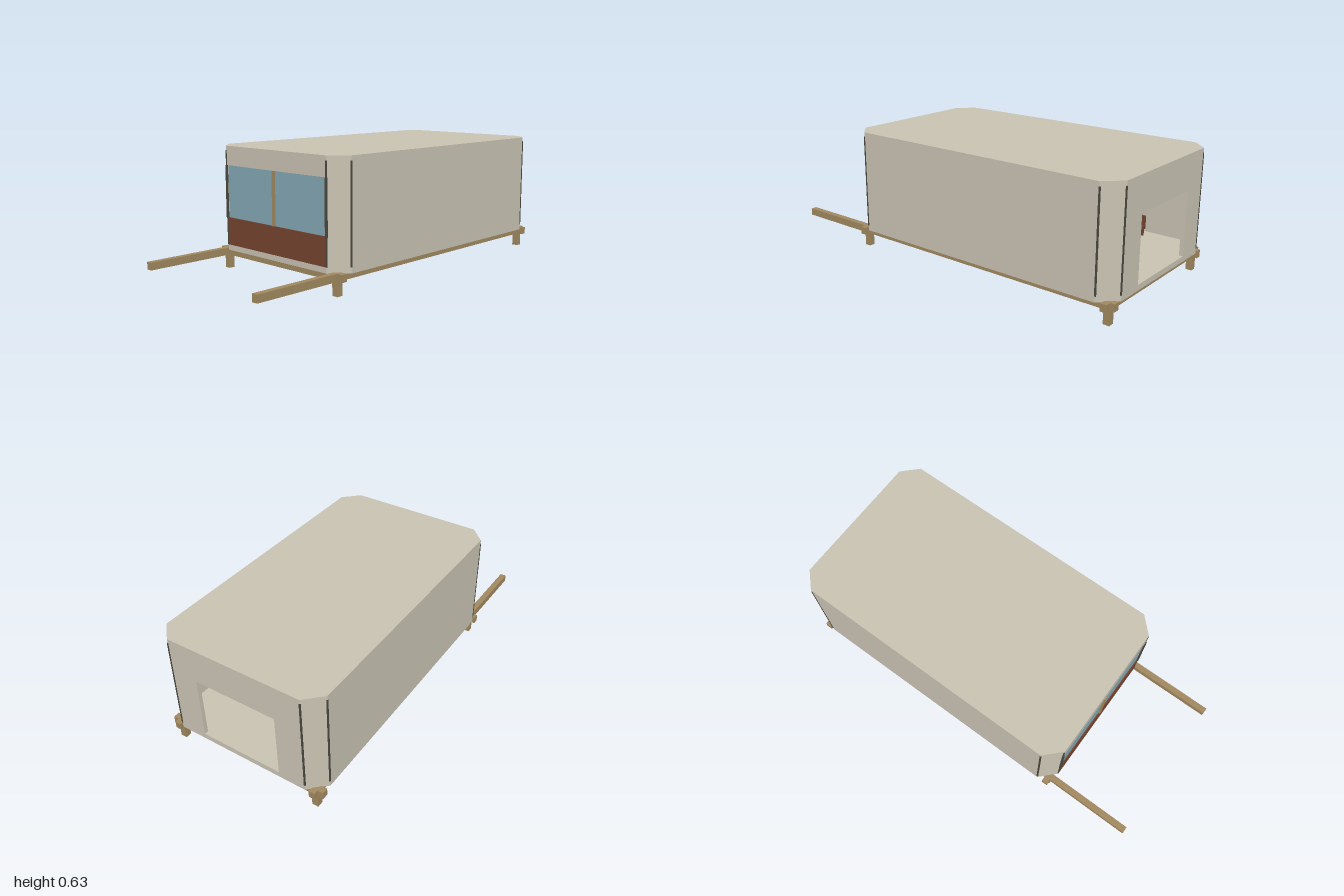
import * as THREE from 'three';

const mat = (name, color, side = THREE.FrontSide) => {
  const m = new THREE.MeshStandardMaterial({ color, side });
  m.name = name;
  return m;
};

export function createModel() {
  const plaster = mat('plaster', 0xc8c2b2);
  const wood = mat('wood', 0xa0885f);
  const glass = mat('glass', 0x84a8b4, THREE.DoubleSide);
  const brown = mat('dark brown', 0x74432f);
  const seam = mat('seam', 0x4a483f);

  const model = new THREE.Group();
  model.name = 'cabin';

  // Box given by its minimum and maximum on each axis
  const box = (name, m, x0, x1, y0, y1, z0, z1, parent = model) => {
    const mesh = new THREE.Mesh(new THREE.BoxGeometry(x1 - x0, y1 - y0, z1 - z0), m);
    mesh.position.set((x0 + x1) / 2, (y0 + y1) / 2, (z0 + z1) / 2);
    mesh.name = name;
    parent.add(mesh);
    return mesh;
  };

  // Cabin outline with cut corners
  const X0 = -0.56, X1 = 1.0, Z = 0.435, C = 0.08, T = 0.02;
  const FLOOR = 0.13, CEIL = 0.61;
  const outline = new THREE.Shape([
    [X0 + C, -Z], [X1 - C, -Z], [X1, -Z + C], [X1, Z - C],
    [X1 - C, Z], [X0 + C, Z], [X0, Z - C], [X0, -Z + C],
  ].map(([x, z]) => new THREE.Vector2(x, z)));
  const slab = (name, y0, y1) => {
    const g = new THREE.ExtrudeGeometry(outline, { depth: y1 - y0, bevelEnabled: false });
    g.rotateX(-Math.PI / 2);
    const mesh = new THREE.Mesh(g, plaster);
    mesh.position.y = y0;
    mesh.name = name;
    model.add(mesh);
  };
  slab('floorSlab', 0.102, FLOOR);
  slab('roofSlab', CEIL, 0.632);

  // Long side walls, cut corners and dark corner joints
  for (const s of [1, -1]) {
    const zMid = s * (Z - T / 2);
    box('sideWall', plaster, X0 + C, X1 - C, FLOOR, CEIL, zMid - T / 2, zMid + T / 2);
    for (const [xEnd, dir] of [[X0, -1], [X1, 1]]) {
      const corner = new THREE.Mesh(
        new THREE.BoxGeometry(C * Math.SQRT2, CEIL - FLOOR, T), plaster);
      const inset = T / 2 / Math.SQRT2;
      corner.position.set(xEnd - dir * (C / 2 + inset), (FLOOR + CEIL) / 2, s * (Z - C / 2 - inset));
      corner.rotation.y = Math.atan2(dir, s);
      corner.name = 'cornerWall';
      model.add(corner);
      for (const [x, z] of [[xEnd - dir * C, s * (Z - 0.003)], [xEnd - dir * 0.003, s * (Z - C)]])
        box('cornerJoint', seam, x - 0.004, x + 0.004, FLOOR, CEIL, z - 0.004, z + 0.004);
    }
  }

  // End wall with a doorway
  const half = Z - C, W = 0.215, TOP = 0.453;
  box('endWallLintel', plaster, X1 - T, X1, TOP, CEIL, -half, half);
  box('endWallLeft', plaster, X1 - T, X1, FLOOR, TOP, W, half);
  box('endWallRight', plaster, X1 - T, X1, FLOOR, TOP, -half, -W);

  // Window end: lower panel, two panes, bars and the wall above
  box('lowerPanel', brown, X0, X0 + T, FLOOR, 0.27, -half, half);
  box('endWallTop', plaster, X0, X0 + T, 0.535, CEIL, -half, half);
  for (const s of [1, -1]) {
    const z = s * half / 2;
    box('windowPane', glass, X0 + 0.006, X0 + 0.013, 0.27, 0.535, z - half / 2, z + half / 2);
    box('windowEdge', seam, X0 - 0.004, X0 + 0.012, 0.265, 0.535, s * half - 0.005, s * half + 0.005);
  }
  box('windowBar', wood, X0 - 0.004, X0 + 0.018, 0.27, 0.535, -0.007, 0.007);

  // Interior partition and bed platform
  box('partition', plaster, 0.7, 0.72, FLOOR, 0.432, -0.052, Z - T);
  box('bedPlatform', plaster, -0.4, 0.1, FLOOR, 0.202, -0.4, 0.4);

  // Round cushion with a pale rim
  const cushion = new THREE.Group();
  cushion.name = 'cushion';
  const dome = new THREE.Mesh(
    new THREE.SphereGeometry(0.085, 24, 8, 0, Math.PI * 2, 0, Math.PI / 2), glass);
  dome.name = 'cushionTop';
  dome.scale.y = 0.7;
  const rim = new THREE.Mesh(new THREE.TorusGeometry(0.085, 0.012, 8, 24), plaster);
  rim.name = 'cushionRim';
  rim.rotation.x = Math.PI / 2;
  rim.position.y = 0.006;
  cushion.add(dome, rim);
  cushion.position.set(-0.1, 0.202, -0.05);
  model.add(cushion);

  // Small chair by the wall
  const chair = new THREE.Group();
  chair.name = 'chair';
  model.add(chair);
  box('seat', brown, 0.61, 0.72, 0.165, 0.185, -0.36, -0.24, chair);
  box('backrest', brown, 0.61, 0.72, 0.185, 0.235, -0.36, -0.345, chair);
  for (const x of [0.615, 0.703])
    for (const z of [-0.355, -0.257])
      box('chairLeg', brown, x, x + 0.012, FLOOR, 0.165, z, z + 0.012, chair);

  // Timber base: long rails, cross rails and feet
  const B0 = 0.07, B1 = 0.107, R = 0.016;
  for (const s of [1, -1]) {
    const z = s * 0.39;
    box('longRail', wood, -1, 1, B0, B1, z - R, z + R);
    for (const x of [-0.527, 0.962])
      box('foot', wood, x - R, x + R, 0, B1, z - R, z + R);
  }
  for (const x of [-0.527, 0.962])
    box('crossRail', wood, x - R, x + R, B0, B1, -Z, Z);

  return model;
}
